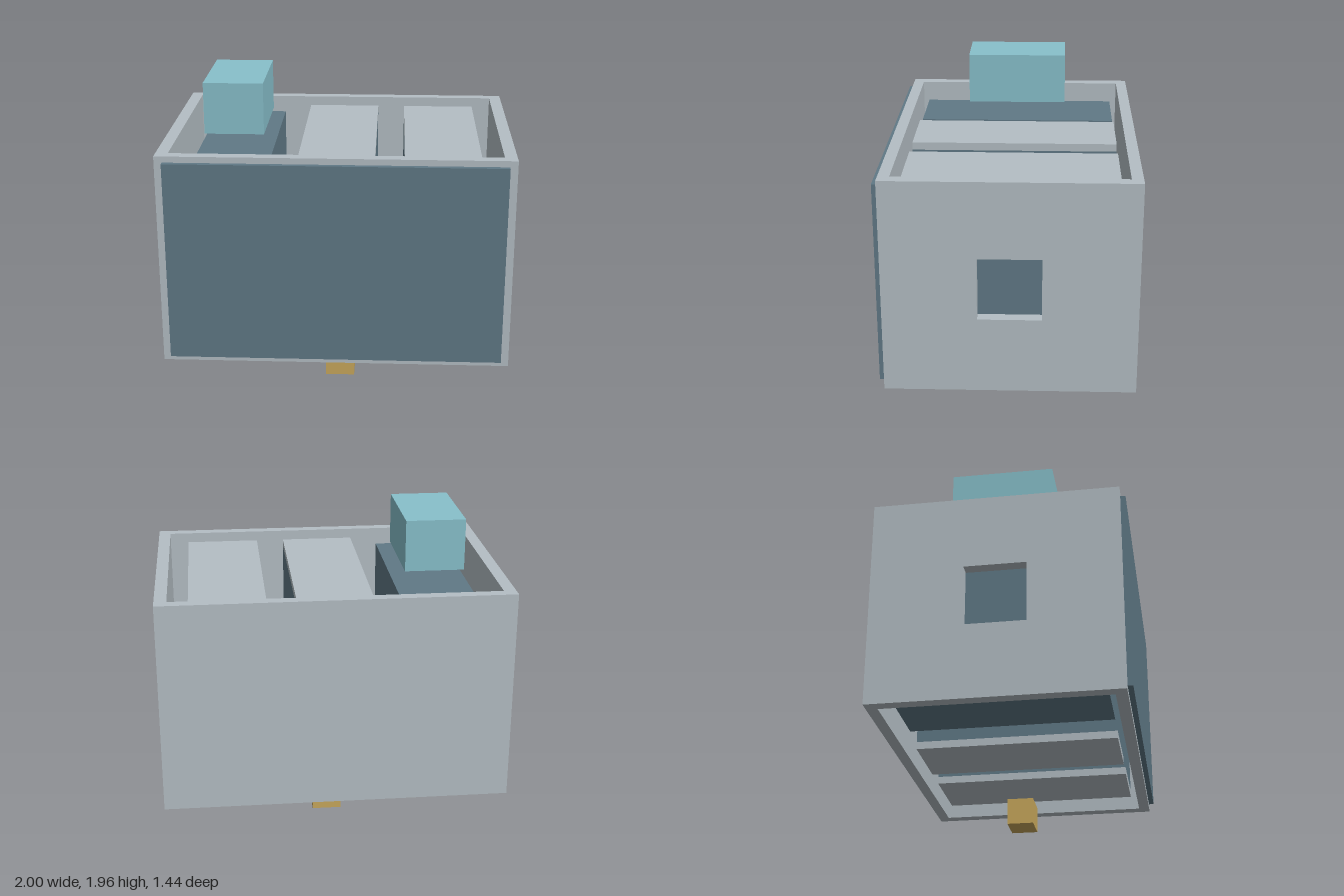
import * as THREE from 'three';

const flat = (name, color) => {
  const m = new THREE.MeshStandardMaterial({ color });
  m.name = name;
  return m;
};

export function createModel() {
  const grey = flat('light grey', 0xb4bec4);
  const slate = flat('slate blue', 0x607986);
  const teal = flat('pale teal', 0x88c0cb);
  const gold = flat('brass', 0xc8a85c);
  const model = new THREE.Group();
  model.name = 'container';

  const add = (name, geometry, material) => {
    const mesh = new THREE.Mesh(geometry, material);
    mesh.name = name;
    model.add(mesh);
    return mesh;
  };

  // Box given by its lower and upper limits on each axis
  const box = (name, material, [x0, x1], [y0, y1], [z0, z1]) => {
    add(name, new THREE.BoxGeometry(x1 - x0, y1 - y0, z1 - z0), material)
      .position.set((x0 + x1) / 2, (y0 + y1) / 2, (z0 + z1) / 2);
  };

  const wallY = [0.4, 1.64];
  const back = -0.72, front = 0.69, thick = 0.07;

  // Side walls, each with a square window opening
  const rect = (Type, z0, z1, y0, y1) =>
    new Type([[z0, y0], [z1, y0], [z1, y1], [z0, y1]].map(p => new THREE.Vector2(...p)));
  const side = rect(THREE.Shape, back, front, ...wallY);
  side.holes.push(rect(THREE.Path, -0.19, 0.165, 0.84, 1.2));
  const sideGeometry = new THREE.ExtrudeGeometry(side, { depth: thick, bevelEnabled: false });
  sideGeometry.rotateY(-Math.PI / 2);
  add('leftWall', sideGeometry, grey).position.x = 1;
  add('rightWall', sideGeometry, grey).position.x = -1 + thick;

  // Front and back walls between the sides
  const innerX = [-1 + thick, 1 - thick];
  box('frontWall', grey, innerX, wallY, [front - 0.065, front]);
  box('backWall', grey, innerX, wallY, [back, back + 0.065]);

  // Panel on the front wall
  box('frontPanel', slate, [-0.955, 0.955], [0.435, 1.605], [front, 0.72]);

  // Three inner blocks, two of them capped above and below
  const blockZ = [-0.61, 0.58];
  [-0.6, 0, 0.6].forEach((x, i) => {
    const blockX = [x - 0.217, x + 0.217];
    box(`block${i + 1}`, slate, blockX, [0.49, 1.55], blockZ);
    if (i === 0) return;
    box(`block${i + 1}TopCap`, grey, blockX, [1.55, 1.595], blockZ);
    box(`block${i + 1}BottomCap`, grey, blockX, [0.445, 0.49], blockZ);
  });

  // Loose boxes above and below the container
  box('upperBox', teal, [-0.775, -0.43], [1.655, 1.955], [-0.31, 0.285]);
  box('lowerBox', gold, [-0.09, 0.09], [0, 0.15], [-0.085, 0.065]);

  return model;
}
